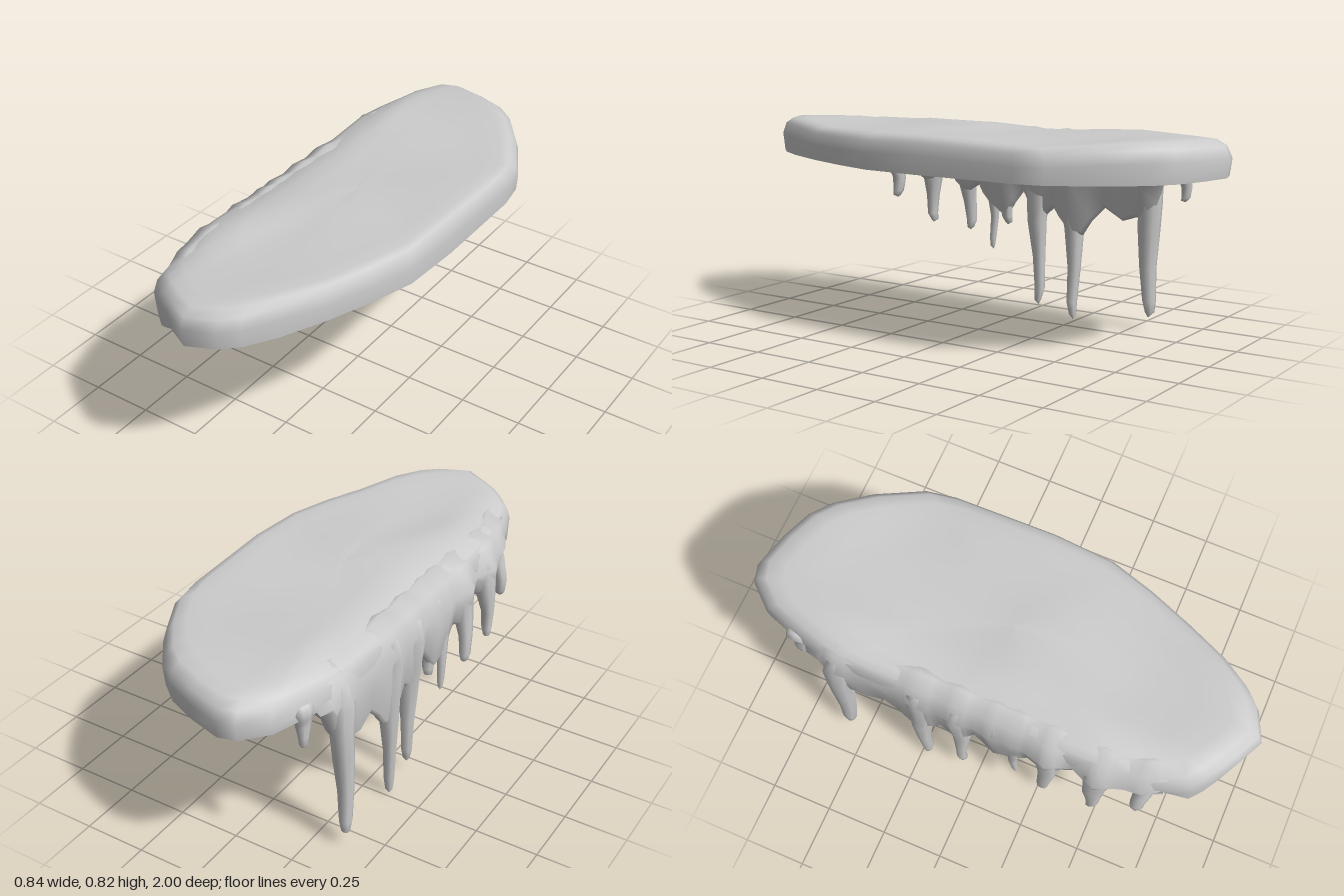
import * as THREE from 'three';

const { lerp, smoothstep } = THREE.MathUtils;
const material = new THREE.MeshStandardMaterial({ color: 0xcccccc, side: THREE.DoubleSide });

// Skins a list of closed rings that all have the same number of points.
function loft(name, rings) {
  const n = rings[0].length, index = [];
  for (let i = 0; i < rings.length - 1; i++) {
    for (let j = 0; j < n; j++) {
      const k = (j + 1) % n;
      const a = i * n + j, b = i * n + k, c = b + n, d = a + n;
      index.push(a, d, b, b, d, c);
    }
  }
  const geometry = new THREE.BufferGeometry();
  geometry.setAttribute('position', new THREE.Float32BufferAttribute(rings.flat(2), 3));
  geometry.setIndex(index);
  geometry.computeVertexNormals();
  const mesh = new THREE.Mesh(geometry, material);
  mesh.name = name;
  return mesh;
}

// Plan outline of the snow slab: x, z
const outline = [
  [-0.13, -1], [0, -0.965], [0.12, -0.915], [0.2, -0.85], [0.3, -0.72], [0.4, -0.54],
  [0.42, -0.42], [0.42, 0], [0.405, 0.25], [0.35, 0.43], [0.28, 0.61], [0.2, 0.78],
  [0.13, 0.89], [0.07, 0.95], [-0.04, 1], [-0.14, 0.95], [-0.2, 0.915], [-0.25, 0.88], [-0.3, 0.84],
  [-0.33, 0.75], [-0.36, 0.64], [-0.375, 0.5], [-0.375, 0.3], [-0.365, 0.1], [-0.365, -0.1],
  [-0.37, -0.3], [-0.37, -0.58], [-0.34, -0.7], [-0.31, -0.8], [-0.28, -0.89], [-0.2, -0.98],
].reverse();

// Lower edge of the slab, with a sagging lump at the front corner
function lowerEdge(x, z) {
  const d = Math.hypot(x + 0.265, z - 0.86);
  return 0.672 - 0.075 * Math.min(1, Math.max(0, 1.3 - d / 0.11));
}

// Uneven snow surface: soft waves, a shallow hollow, and a fall-off on the icicle side
function topHeight(x, z, y) {
  const wave = 0.007 * Math.sin(7 * z + 4 * x + 0.5) + 0.004 * Math.sin(12 * z - 7 * x);
  const hollow = 0.018 * Math.max(0, 1 - Math.hypot(x + 0.08, z - 0.52) / 0.2);
  return y + wave - hollow - smoothstep(-x, 0.2, 0.38) * 0.05;
}

// Icicles: z, tip x, tip y, shaft radius, root radius
const icicles = [
  [0.665, -0.36, 0.435, 0.028, 0.045],
  [0.495, -0.39, 0.335, 0.028, 0.065],
  [0.3, -0.39, 0.32, 0.029, 0.06],
  [0.16, -0.36, 0.255, 0.018, 0.045],
  [0.08, -0.345, 0.37, 0.028, 0.05],
  [-0.073, -0.345, 0.045, 0.026, 0.06],
  [-0.23, -0.358, 0, 0.027, 0.06],
  [-0.568, -0.37, 0.05, 0.034, 0.06],
  [-0.745, -0.31, 0.54, 0.022, 0.045],
];

function makeIcicle([z, tipX, tipY, r, root], seed) {
  const rootX = Math.abs(z) > 0.6 ? -0.3 : -0.34, top = 0.73, sides = 8;
  // Fraction of length, radius
  const profile = [[0, 0], [0.02, root * 0.7], [0.14, root], [0.32, root * 0.8],
    [0.48, lerp(r, root, 0.4)], [0.7, r], [0.9, r * 0.8], [0.97, r * 0.55], [1, 0]];
  return loft('icicle', profile.map(([t, radius], i) => {
    const cx = lerp(rootX, tipX, Math.min(1, t * 1.4));
    const wobble = 0.005 * Math.sin(seed * 2.3 + i * 1.7) * (t < 1 ? 1 : 0);
    return Array.from({ length: sides }, (_, j) => {
      const a = (j / sides) * Math.PI * 2;
      const s = radius * (1 + 0.1 * Math.sin(seed + j * 2.1));
      return [cx + wobble * 0.6 + s * Math.cos(a), lerp(top, tipY, t), z + wobble - s * Math.sin(a)];
    });
  }));
}

// Lower edge of the frozen web between the icicles: z, y
const web = [
  [0.74, 0.67], [0.7, 0.645], [0.665, 0.6], [0.635, 0.62], [0.6, 0.65], [0.56, 0.59], [0.53, 0.54],
  [0.495, 0.52], [0.46, 0.54], [0.4, 0.585], [0.355, 0.56], [0.33, 0.52], [0.3, 0.5], [0.27, 0.5],
  [0.22, 0.53], [0.19, 0.48], [0.16, 0.45], [0.12, 0.42], [0.08, 0.41], [0.04, 0.47], [0, 0.52],
  [-0.035, 0.46], [-0.073, 0.42], [-0.11, 0.43], [-0.145, 0.46], [-0.18, 0.41], [-0.23, 0.36],
  [-0.28, 0.36], [-0.32, 0.42], [-0.38, 0.48], [-0.46, 0.435], [-0.52, 0.455], [-0.568, 0.45],
  [-0.61, 0.51], [-0.64, 0.59], [-0.7, 0.665],
];

function makeCurtain() {
  const rings = web.map(([z, y]) => {
    // Ridges swell where an icicle hangs, and the ends tuck in under the slab
    const near = Math.min(...icicles.map((c) => Math.abs(c[0] - z)));
    const swell = Math.max(0, 1 - near / 0.1);
    const out = swell * (z > 0.2 && z < 0.6 ? 0.04 : 0.018);
    const edge = -0.365 + 0.05 * smoothstep(Math.abs(z), 0.55, 0.78);
    const mid = lerp(y, 0.7, 0.5);
    return [
      [edge + 0.13, 0.77, z], [edge + 0.065, 0.782 + swell * 0.015, z], [edge + 0.01 - out * 0.4, 0.752 + swell * 0.01, z],
      [edge - 0.012 - out, 0.66, z], [edge - 0.005 - out, mid, z], [edge - out * 0.6, y + 0.02, z],
      [edge + 0.018, y, z], [edge + 0.04 + swell * 0.01, y + 0.02, z],
      [edge + 0.06 + swell * 0.02, mid, z], [edge + 0.1 + swell * 0.03, 0.668, z], [edge + 0.15, 0.69, z],
    ];
  });
  // Close both ends
  const cap = (ring) => ring.map(() => [-0.28, 0.71, ring[0][2]]);
  return loft('iceCurtain', [cap(rings[0]), ...rings, cap(rings[rings.length - 1])]);
}

export function createModel() {
  const model = new THREE.Group();
  model.name = 'snowLedgeWithIcicles';

  // Rounded snow top and rim: scale of outline, height
  const levels = [[0, 0.81], [0.2, 0.81], [0.4, 0.81], [0.6, 0.81], [0.75, 0.812], [0.87, 0.814],
    [0.94, 0.808], [0.98, 0.785], [1, 0.74]];
  const shell = levels.map(([s, y]) => outline.map(([x, z]) => [x * s, topHeight(x * s, z * s, y), z * s]));
  const rim = outline.map(([x, z]) => [x * 0.995, lowerEdge(x, z), z * 0.99]);
  model.add(loft('snowSlab', [...shell, rim]));

  // Flat underside
  const inner = (s) => outline.map(([x, z]) => [x * s, 0.674, z * s]);
  model.add(loft('underside', [rim, inner(0.8), inner(0)]));

  // Hanging ice along one long edge
  model.add(makeCurtain());
  const row = new THREE.Group();
  row.name = 'icicles';
  icicles.forEach((spec, i) => row.add(makeIcicle(spec, i + 1)));
  model.add(row);
  return model;
}
